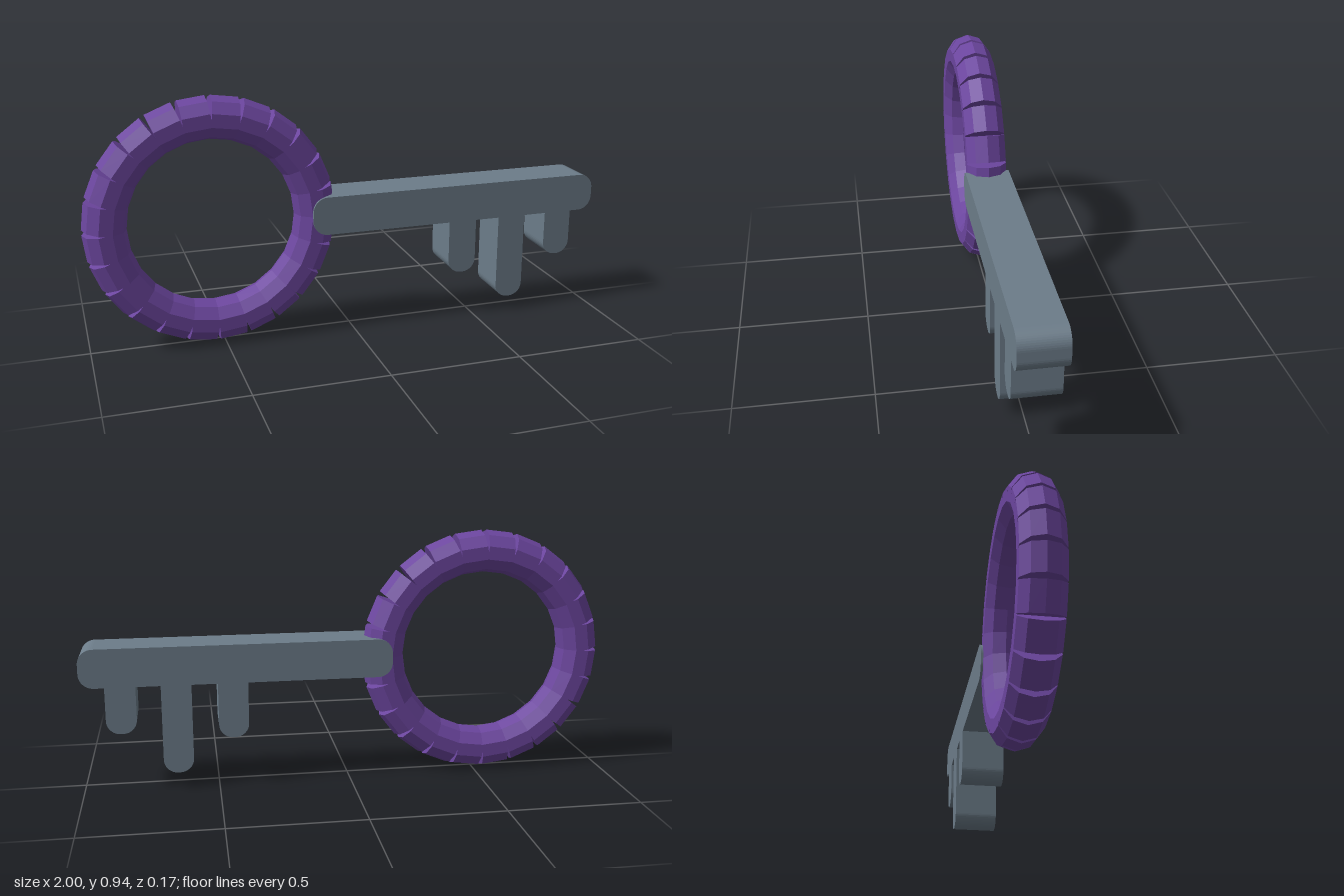
import * as THREE from 'three';

const DEPTH = 0.17;

// Upright slab with separately rounded top and bottom corners
function slab(x0, x1, y0, y1, rTop, rBottom) {
  const s = new THREE.Shape();
  const corner = (cx, cy, r, start) => {
    if (r > 0) s.absarc(cx, cy, r, start, start + Math.PI / 2, false);
    else s.lineTo(cx, cy);
  };
  s.moveTo(x0 + rBottom, y0);
  corner(x1 - rBottom, y0 + rBottom, rBottom, -Math.PI / 2);
  corner(x1 - rTop, y1 - rTop, rTop, 0);
  corner(x0 + rTop, y1 - rTop, rTop, Math.PI / 2);
  corner(x0 + rBottom, y0 + rBottom, rBottom, Math.PI);
  const g = new THREE.ExtrudeGeometry(s, { depth: DEPTH, bevelEnabled: false, curveSegments: 6 });
  g.translate(0, 0, -DEPTH / 2);
  return g;
}

export function createModel() {
  const steel = new THREE.MeshStandardMaterial({ color: 0x6c7c89 });
  steel.name = 'steel grey';
  const purple = new THREE.MeshStandardMaterial({ color: 0x6c469f });
  purple.name = 'purple';
  purple.flatShading = true;

  const key = new THREE.Group();
  key.name = 'key';

  // Bow: straight ten-sided segments set around a circle, open on the outside
  const bow = new THREE.Group();
  bow.name = 'bow';
  bow.position.set(-0.529, 0.471, 0);
  const count = 24, radius = 0.388, thickness = 0.08;
  const length = 2 * radius * Math.tan(Math.PI / count);
  const segment = new THREE.CylinderGeometry(thickness, thickness, length, 10);
  segment.rotateY(Math.PI / 2); // one corner points straight outward
  segment.translate(radius, 0, 0);
  for (let i = 0; i < count; i++) {
    const mesh = new THREE.Mesh(segment, purple);
    mesh.name = 'bowSegment';
    mesh.rotation.z = ((i + 0.5) / count) * Math.PI * 2;
    bow.add(mesh);
  }
  key.add(bow);

  // Shaft
  const shaft = new THREE.Mesh(slab(-0.163, 1, 0.4, 0.546, 0.055, 0.055), steel);
  shaft.name = 'shaft';
  key.add(shaft);

  // Teeth: centre x and lowest y
  for (const [x, y] of [[0.441, 0.19], [0.65, 0.062], [0.853, 0.223]]) {
    const tooth = new THREE.Mesh(slab(x - 0.056, x + 0.056, y, 0.401, 0, 0.052), steel);
    tooth.name = 'tooth';
    key.add(tooth);
  }
  return key;
}
